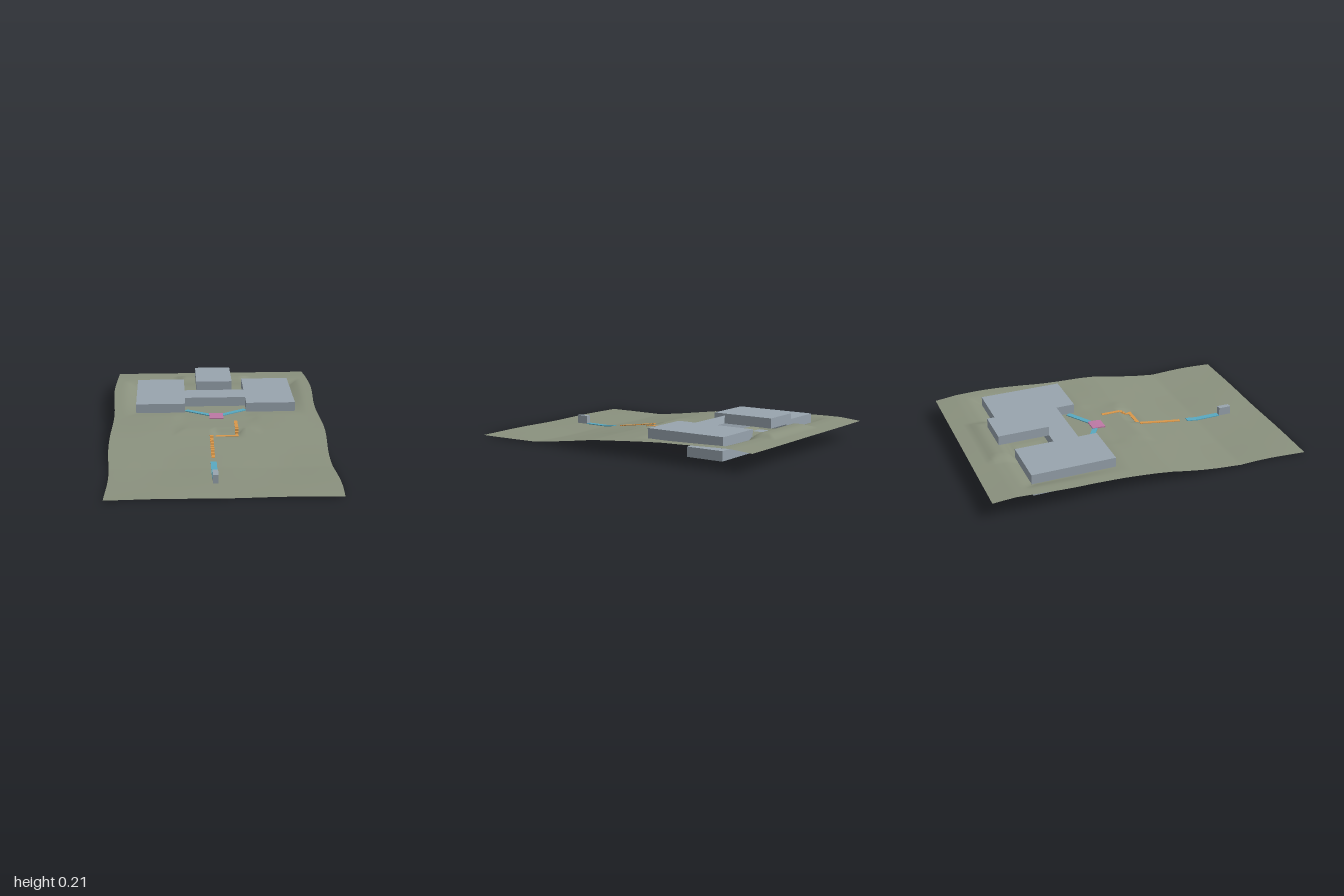
import * as THREE from 'three';

const paint = (name, color, side = THREE.FrontSide) => {
  const m = new THREE.MeshStandardMaterial({ color, side });
  m.name = name;
  return m;
};

// Hillside section along z: [z, height]
const slope = [[-1, 0.115], [-0.86, 0.125], [-0.72, 0.122], [-0.4, 0.112], [-0.2, 0.1], [0, 0.087],
  [0.1, 0.078], [0.3, 0.046], [0.4, 0.031], [0.56, 0.011], [0.8, 0.014], [1, 0.014]];

function hill(z) {
  for (let i = 1; i < slope.length; i++) {
    const [z0, y0] = slope[i - 1], [z1, y1] = slope[i];
    if (z <= z1) return y0 + (y1 - y0) * (z - z0) / (z1 - z0);
  }
  return 0.014;
}

// Levelled areas: x range, z range, height, blend distance
const pads = [
  [-0.52, 0.52, -0.72, -0.2, 0.092, 0.07],
  [-0.2, 0.2, -0.24, -0.08, 0.092, 0.07],
  [-0.2, 0.2, -0.84, -0.78, 0.142, 0.06],
  [-0.2, 0.2, -0.05, 0.08, 0.088, 0.07],
  [0, 0.12, 0.12, 0.16, 0.06, 0.04],
  [-0.2, -0.12, -0.62, -0.54, 0.068, 0.06],
  [0.12, 0.2, -0.62, -0.54, 0.068, 0.06],
];

function ground(x, z) {
  let y = hill(z) + 0.003 * Math.cos(x * 9) * Math.sin(z * 5 - 1.2);
  for (const [x0, x1, z0, z1, h, blend] of pads) {
    const dx = Math.max(x0 - x, 0, x - x1), dz = Math.max(z0 - z, 0, z - z1);
    y += (h - y) * Math.max(0, 1 - Math.max(dx, dz) / blend);
  }
  return y;
}

export function createModel() {
  const model = new THREE.Group();
  model.name = 'hillsideSite';
  const grass = paint('olive ground', 0x8a917e, THREE.DoubleSide);
  const concrete = paint('blue grey', 0x98a4ae);
  const stairPaint = paint('orange', 0xd9974a);
  const pathPaint = paint('blue', 0x58a8c0);
  const plazaPaint = paint('pink', 0xbc78a4);

  const add = (name, geometry, material, parent = model) => {
    const mesh = new THREE.Mesh(geometry, material);
    mesh.name = name;
    parent.add(mesh);
    return mesh;
  };
  // Box given by its limits on each axis
  const block = (name, x0, x1, y0, y1, z0, z1, material, parent) =>
    add(name, new THREE.BoxGeometry(x1 - x0, y1 - y0, z1 - z0)
      .translate((x0 + x1) / 2, (y0 + y1) / 2, (z0 + z1) / 2), material, parent);
  // Outline in x and z raised between two heights
  const slab = (name, outline, y0, y1) => {
    const shape = new THREE.Shape(outline.map(([x, z]) => new THREE.Vector2(x, -z)));
    const g = new THREE.ExtrudeGeometry(shape, { depth: y1 - y0, bevelEnabled: false });
    return add(name, g.rotateX(-Math.PI / 2).translate(0, y0, 0), concrete);
  };
  // Thin strip between two points that follows the ground
  const drape = (name, [ax, az], [bx, bz], width, material) => {
    const length = Math.hypot(bx - ax, bz - az);
    const g = new THREE.BoxGeometry(width, 0.008, length, 1, 1, 8);
    g.rotateY(Math.atan2(bx - ax, bz - az)).translate((ax + bx) / 2, 0.001, (az + bz) / 2);
    const p = g.attributes.position;
    for (let i = 0; i < p.count; i++) p.setY(i, p.getY(i) + ground(p.getX(i), p.getZ(i)));
    g.computeVertexNormals();
    return add(name, g, material);
  };

  // Terrain sheet with gently wavy sides
  const land = new THREE.PlaneGeometry(1.32, 2, 66, 100).rotateX(-Math.PI / 2);
  const p = land.attributes.position;
  for (let i = 0; i < p.count; i++) {
    const x = p.getX(i), z = p.getZ(i);
    p.setY(i, ground(x, z));
    const edge = Math.max(0, (Math.abs(x) - 0.54) / 0.12);
    const wave = x < 0 ? -0.009 * (1 - Math.cos((z + 1) * 7.4)) : 0.009 * (1 - Math.cos((z + 1) * 8.6));
    p.setX(i, x + edge * wave);
  }
  land.computeVertexNormals();
  add('terrain', land, grass);

  // Building storeys
  slab('basement', [[-0.52, -0.72], [0.52, -0.72], [0.52, -0.48], [0.2, -0.48],
    [0.2, -0.32], [-0.2, -0.32], [-0.2, -0.48], [-0.52, -0.48]].reverse(), 0.016, 0.076);
  for (const s of [-1, 1]) {
    const [x0, x1] = s < 0 ? [-0.52, -0.2] : [0.2, 0.52];
    block(s < 0 ? 'rightWing' : 'leftWing', x0, x1, 0.095, 0.156, -0.725, -0.2, concrete);
  }
  block('linkHall', -0.2, 0.2, 0.095, 0.156, -0.48, -0.32, concrete);
  block('upperHall', -0.12, 0.12, 0.156, 0.216, -0.8, -0.48, concrete);
  block('gatehouse', -0.058, -0.026, 0.016, 0.07, 0.72, 0.8, concrete);

  // Entrance plaza and paths
  const plaza = drape('plaza', [0, -0.165], [0, -0.08], 0.09, plazaPaint);
  plaza.position.y = 0.003;
  for (const s of [-1, 1]) drape('wingPath', [s * 0.195, -0.245], [s * 0.035, -0.145], 0.032, pathPaint);
  drape('gatePath', [-0.042, 0.49], [-0.042, 0.72], 0.036, pathPaint);

  // Stairs: solid steps on a level base
  const flight = (name, x, zLow, zHigh, base, top, count) => {
    const group = new THREE.Group();
    group.name = name;
    const run = (zLow - zHigh) / count;
    for (let i = 0; i < count; i++) {
      const z1 = zLow - i * run;
      const y = Math.max(base + 0.002, Math.min(top, ground(x, z1 - run) + 0.003));
      block('step', x - 0.011, x + 0.011, base, y, z1 - run, z1, stairPaint, group);
    }
    model.add(group);
  };
  flight('lowerStair', -0.042, 0.44, 0.16, 0.017, 0.072, 16);
  flight('upperStair', 0.12, 0.12, -0.04, 0.055, 0.092, 9);
  block('landing', -0.053, 0.131, 0.052, 0.063, 0.143, 0.165, stairPaint);
  block('landingTurn', 0.109, 0.131, 0.052, 0.063, 0.12, 0.143, stairPaint);
  return model;
}
